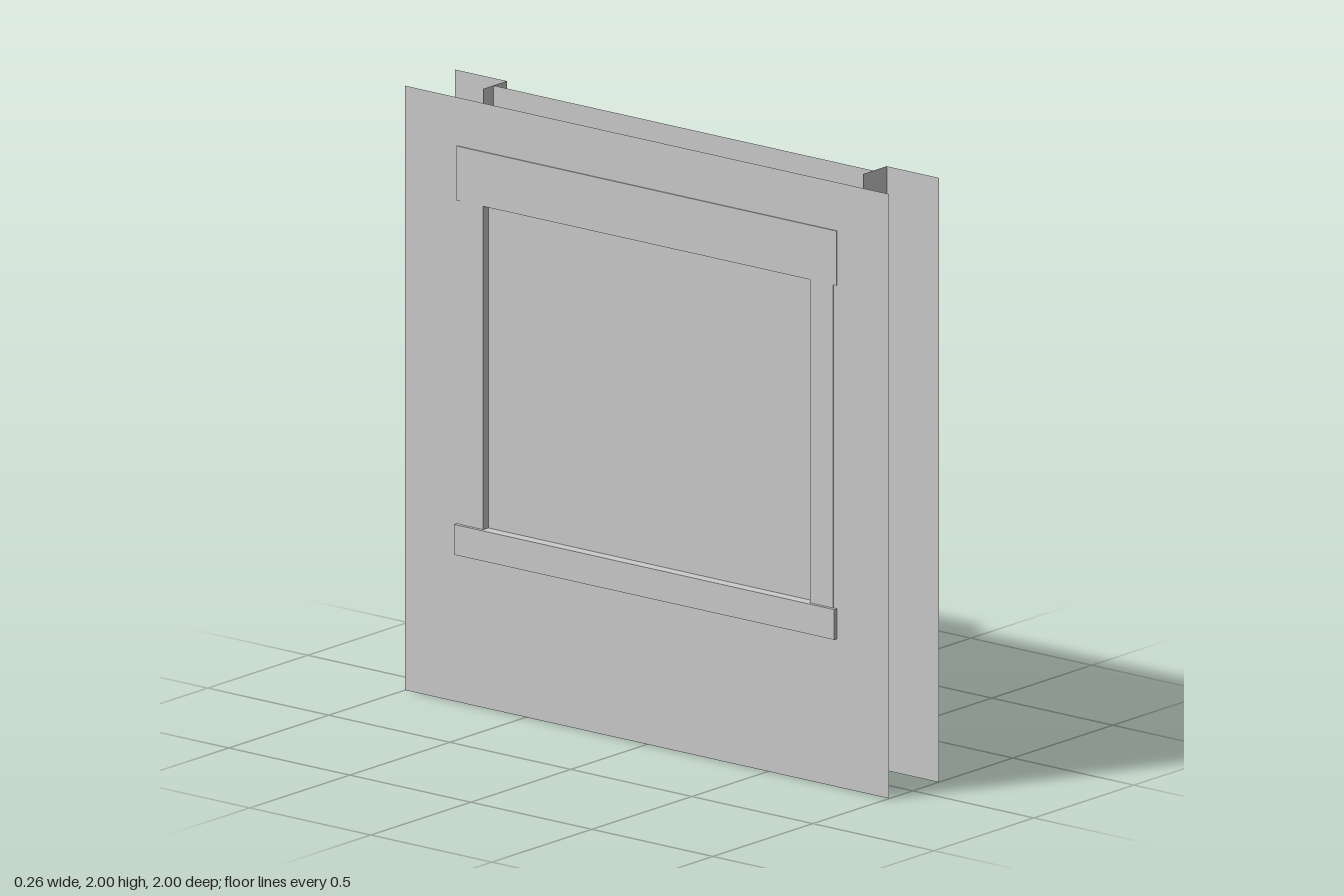
import * as THREE from 'three';

const H = 2, INNER = 0.785, SILL = 0.59, HEAD = 1.66, OPEN = 0.675;

export function createModel() {
  const group = new THREE.Group();
  const solid = new THREE.MeshStandardMaterial({ color: 0xcccccc });
  const sheet = new THREE.MeshStandardMaterial({ color: 0xcccccc, side: THREE.DoubleSide });

  function add(name, geometry, material) {
    const mesh = new THREE.Mesh(geometry, material);
    mesh.name = name;
    group.add(mesh);
    return mesh;
  }

  // Box given by its limits on each axis
  function box(name, x0, x1, y0, y1, z0, z1) {
    add(name, new THREE.BoxGeometry(x1 - x0, y1 - y0, z1 - z0), solid)
      .position.set((x0 + x1) / 2, (y0 + y1) / 2, (z0 + z1) / 2);
  }

  function rect(path, z0, z1, y0, y1) {
    return path.moveTo(z0, y0).lineTo(z1, y0).lineTo(z1, y1).lineTo(z0, y1).closePath();
  }

  // Thin upright sheet facing sideways, optionally with the window opening
  function wallSheet(name, x, z0, z1, opening) {
    const shape = rect(new THREE.Shape(), z0, z1, 0, H);
    if (opening) shape.holes.push(rect(new THREE.Path(), -OPEN, OPEN, SILL, HEAD));
    const geometry = new THREE.ShapeGeometry(shape);
    geometry.rotateY(-Math.PI / 2);
    add(name, geometry, sheet).position.x = x;
  }

  // Outer and inner wall faces around the window
  wallSheet('outerWall', -0.118, -1, 1, true);
  wallSheet('innerWall', 0.063, -INNER, INNER, true);

  // Wall returns and the narrow wall strips beside the recess
  wallSheet('frontWallStrip', 0.13, INNER, 1, false);
  wallSheet('backWallStrip', 0.13, -1, -INNER, false);
  for (const s of [1, -1]) {
    add(s > 0 ? 'frontReturn' : 'backReturn', new THREE.PlaneGeometry(0.12, H), sheet)
      .position.set(0.07, H / 2, s * INNER);
  }

  // Window frame: head, sill and two jambs
  box('windowHead', -0.122, 0.085, HEAD, 1.84, -INNER, INNER);
  box('windowSill', -0.133, 0.075, 0.49, SILL, -INNER, INNER);
  box('frontJamb', -0.121, 0.065, SILL, HEAD, OPEN, 0.77);
  box('backJamb', -0.121, 0.065, SILL, HEAD, -0.77, -OPEN);

  // Recessed pane
  box('windowPane', -0.095, 0.037, SILL, HEAD, -OPEN, OPEN);

  return group;
}
